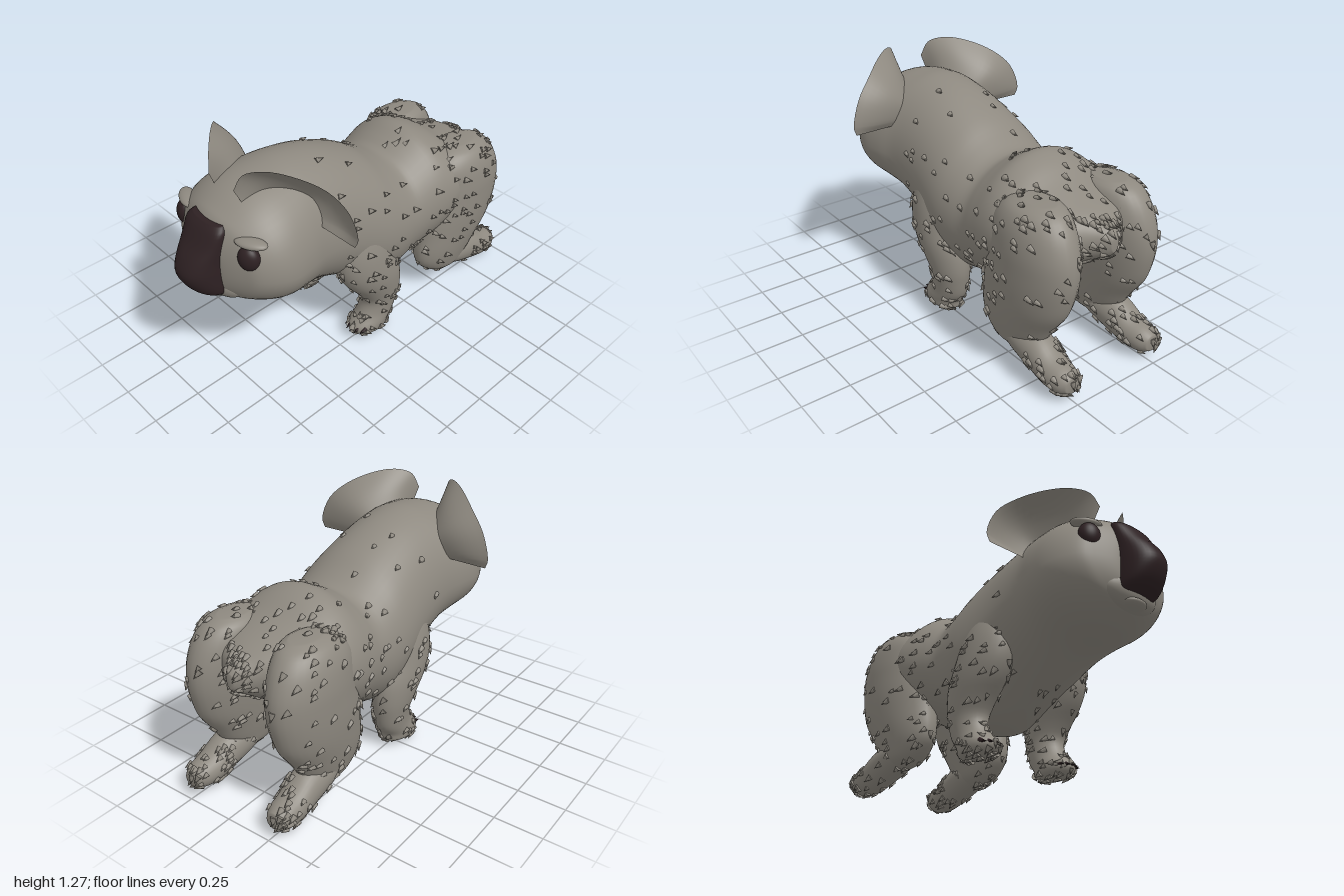
import * as THREE from 'three';
import { mergeGeometries } from 'three/addons/utils/BufferGeometryUtils.js';

const material = (name, color, side = THREE.FrontSide) => {
  const m = new THREE.MeshStandardMaterial({ color, side });
  m.name = name;
  return m;
};

let seed = 7;
const random = () => (seed = (seed * 16807) % 2147483647) / 2147483647;

// Smoothly subdivides a list of numeric rows
function subdivide(rows, steps) {
  const out = [];
  for (let i = 0; i < rows.length - 1; i++) {
    const [a, b, c, d] = [rows[Math.max(i - 1, 0)], rows[i], rows[i + 1], rows[Math.min(i + 2, rows.length - 1)]];
    for (let k = 0; k < steps; k++) {
      const t = k / steps;
      out.push(b.map((_, n) => 0.5 * (2 * b[n] + (c[n] - a[n]) * t
        + (2 * a[n] - 5 * b[n] + 4 * c[n] - d[n]) * t * t
        + (3 * b[n] - a[n] - 3 * c[n] + d[n]) * t * t * t)));
    }
  }
  out.push(rows[rows.length - 1]);
  return out;
}

// Skins rings [position, low, high, halfWidth, centreX, widestLevel].
// Along z: rings run front to back. Along y: rings run bottom to top.
function loft(rows, axis, { sides = 40, steps = 4, power = 1 } = {}) {
  const rings = subdivide(rows, steps);
  const cap = ([t, , , , cx, mid]) => [t, mid, mid, 0, cx, mid];
  rings.unshift(cap(rings[0]));
  rings.push(cap(rings[rings.length - 1]));
  const soft = (v) => Math.sign(v) * Math.abs(v) ** power;
  const pos = [], index = [];
  rings.forEach(([t, lo, hi, hw, cx, mid], i) => {
    for (let j = 0; j < sides; j++) {
      const angle = (j / sides) * Math.PI * 2;
      const s = soft(Math.sin(angle));
      const x = cx + hw * soft(Math.cos(angle));
      const u = mid + s * (s > 0 ? hi - mid : mid - lo);
      if (axis === 'z') pos.push(x, u, t); else pos.push(x, t, u);
      if (i < rings.length - 1) {
        const a = i * sides + j, b = i * sides + (j + 1) % sides;
        index.push(a, a + sides, b, b, a + sides, b + sides);
      }
    }
  });
  const g = new THREE.BufferGeometry();
  g.setAttribute('position', new THREE.Float32BufferAttribute(pos, 3));
  g.setIndex(index);
  g.computeVertexNormals();
  return g;
}

const limb = (rows, axis, s) => loft(rows.map(([t, lo, hi, hw, cx]) => [t, lo, hi, hw, cx * s, (lo + hi) / 2]), axis, { sides: 32 });

// Small fur spikes lying back along a surface
function tufts(geometry, count, accept = () => true) {
  const cones = [], P = geometry.attributes.position, N = geometry.attributes.normal;
  const p = new THREE.Vector3(), n = new THREE.Vector3(), up = new THREE.Vector3(0, 1, 0);
  for (let tries = 0; cones.length < count && tries < 5000; tries++) {
    const i = Math.floor(random() * P.count);
    p.fromBufferAttribute(P, i);
    n.fromBufferAttribute(N, i);
    if (!accept(p)) continue;
    const dir = new THREE.Vector3(0, -0.35, -1);
    dir.addScaledVector(n, -dir.dot(n)).normalize().addScaledVector(n, 0.4).normalize();
    const size = 0.8 + random() * 0.45;
    const cone = new THREE.ConeGeometry(0.015 * size, 0.042 * size, 7);
    cone.applyQuaternion(new THREE.Quaternion().setFromUnitVectors(up, dir));
    p.addScaledVector(n, 0.004);
    cone.translate(p.x, p.y, p.z);
    cones.push(cone);
  }
  return mergeGeometries(cones);
}

// Curved open ear sheet between its root inside the head and its outer rim
function earGeometry(s) {
  const curve = (pts) => new THREE.CatmullRomCurve3(pts.map(([x, y, z]) => new THREE.Vector3(x * s, y, z)));
  const root = curve([[0.1, 1.1, 0.7], [0.12, 1.11, 0.58], [0.16, 1.07, 0.48], [0.2, 1.02, 0.42], [0.24, 0.97, 0.41], [0.27, 0.93, 0.42]]);
  const rim = curve([[0.088, 1.17, 0.73], [0.12, 1.25, 0.7], [0.19, 1.277, 0.64], [0.287, 1.26, 0.56], [0.4, 1.2, 0.47],
    [0.49, 1.11, 0.425], [0.535, 0.98, 0.41], [0.52, 0.93, 0.415]]);
  const U = 28, V = 8, pos = [], index = [];
  for (let i = 0; i <= U; i++) {
    const a = root.getPoint(i / U), b = rim.getPoint(i / U);
    for (let j = 0; j <= V; j++) {
      const p = a.clone().lerp(b, j / V);
      const bowl = Math.sin((j / V) * Math.PI) * Math.sin((i / U) * Math.PI) * 0.035;
      pos.push(p.x + s * bowl * 0.3, p.y, p.z - bowl);
      if (i < U && j < V) {
        const q = i * (V + 1) + j, r = q + V + 1;
        if (s > 0) index.push(q, r, q + 1, q + 1, r, r + 1);
        else index.push(q, q + 1, r, q + 1, r + 1, r);
      }
    }
  }
  const g = new THREE.BufferGeometry();
  g.setAttribute('position', new THREE.Float32BufferAttribute(pos, 3));
  g.setIndex(index);
  g.computeVertexNormals();
  return g;
}

export function createModel() {
  const group = new THREE.Group();
  const fur = material('greyFur', 0x8e8980, THREE.DoubleSide);
  const dark = material('darkBrown', 0x2e2123);
  const add = (name, geometry, mat) => {
    const mesh = new THREE.Mesh(geometry, mat);
    mesh.name = name;
    group.add(mesh);
    return mesh;
  };
  const ellipsoid = (name, mat, [x, y, z], [rx, ry, rz], turn = 0) => {
    const mesh = add(name, new THREE.SphereGeometry(1, 32, 20), mat);
    mesh.position.set(x, y, z);
    mesh.scale.set(rx, ry, rz);
    mesh.rotation.y = turn;
  };

  // Head, torso and tail in one skin
  const body = loft([
    [0.865, 0.68, 0.95, 0.09, 0, 0.8], [0.855, 0.645, 0.985, 0.14, 0, 0.8],
    [0.82, 0.615, 1.04, 0.225, 0, 0.8], [0.78, 0.59, 1.07, 0.295, 0, 0.8],
    [0.7, 0.555, 1.115, 0.35, 0, 0.79], [0.61, 0.53, 1.145, 0.37, 0, 0.78],
    [0.5, 0.51, 1.16, 0.357, 0, 0.78], [0.38, 0.465, 1.166, 0.333, 0, 0.77],
    [0.2, 0.38, 1.13, 0.335, 0, 0.72], [0, 0.275, 1.045, 0.358, 0, 0.63],
    [-0.12, 0.245, 0.97, 0.355, 0, 0.6], [-0.22, 0.27, 0.925, 0.345, 0, 0.6],
    [-0.3, 0.3, 0.955, 0.355, 0, 0.62], [-0.4, 0.33, 1.0, 0.368, 0, 0.64],
    [-0.5, 0.38, 0.975, 0.37, 0, 0.67], [-0.6, 0.45, 0.915, 0.35, 0, 0.7],
    [-0.7, 0.52, 0.87, 0.3, 0, 0.72], [-0.79, 0.58, 0.835, 0.22, 0, 0.72],
    [-0.85, 0.62, 0.805, 0.11, 0, 0.72], [-0.9, 0.65, 0.78, 0.05, 0, 0.72],
    [-0.925, 0.68, 0.75, 0.02, 0, 0.72],
  ], 'z', { sides: 56 });
  add('body', body, fur);
  add('bodyTufts', tufts(body, 210, (p) => p.z < 0.25 && p.z > -0.92), fur);

  // Long nose plate and the muzzle under it
  add('nose', loft([
    [0.655, 0.78, 0.88, 0.095, 0, 0.83], [0.67, 0.76, 0.93, 0.115, 0, 0.84],
    [0.72, 0.76, 0.975, 0.12, 0, 0.85], [0.79, 0.76, 1.0, 0.12, 0, 0.85],
    [0.86, 0.76, 0.975, 0.12, 0, 0.85], [0.93, 0.76, 0.925, 0.124, 0, 0.845],
    [1.0, 0.76, 0.88, 0.124, 0, 0.83], [1.03, 0.76, 0.85, 0.1, 0, 0.81],
  ], 'y', { power: 0.88 }), dark);
  ellipsoid('muzzle', fur, [0, 0.685, 0.79], [0.18, 0.09, 0.085]);
  ellipsoid('lowerLip', fur, [0, 0.622, 0.81], [0.08, 0.025, 0.065]);

  for (const s of [1, -1]) {
    const side = s > 0 ? 'left' : 'right';
    add(side + 'Ear', earGeometry(s), fur);
    ellipsoid(side + 'Eye', dark, [0.238 * s, 0.912, 0.783], [0.054, 0.064, 0.042], 0.45 * s);
    ellipsoid(side + 'Brow', fur, [0.235 * s, 0.985, 0.765], [0.08, 0.022, 0.04], 0.45 * s);

    // Front leg with paw
    const frontLeg = limb([
      [0.02, -0.02, 0.12, 0.04, 0.255], [0.04, -0.07, 0.155, 0.078, 0.255], [0.08, -0.08, 0.165, 0.088, 0.255],
      [0.14, -0.12, 0.11, 0.084, 0.257], [0.22, -0.14, 0.085, 0.088, 0.26], [0.3, -0.15, 0.13, 0.1, 0.262],
      [0.4, -0.14, 0.21, 0.115, 0.26], [0.5, -0.1, 0.255, 0.122, 0.252], [0.62, -0.06, 0.26, 0.118, 0.24],
      [0.75, 0.0, 0.22, 0.09, 0.225], [0.85, 0.06, 0.16, 0.03, 0.215],
    ], 'y', s);
    add(side + 'FrontLeg', frontLeg, fur);
    add(side + 'FrontLegTufts', tufts(frontLeg, 120, (p) => p.y < 0.7), fur);
    for (let i = -2; i <= 2; i++) {
      const claw = add(side + 'Claw', new THREE.ConeGeometry(0.014, 0.05, 8), dark);
      claw.position.set((0.255 + i * 0.028) * s, 0.072, 0.168 - i * i * 0.006);
      claw.rotation.x = 1.9;
    }

    // Heavy thigh and the backward hind foot
    const thigh = limb([
      [0.11, -0.64, -0.5, 0.03, 0.25], [0.15, -0.7, -0.42, 0.08, 0.25], [0.22, -0.76, -0.355, 0.103, 0.25],
      [0.3, -0.81, -0.34, 0.12, 0.25], [0.4, -0.88, -0.35, 0.135, 0.25], [0.5, -0.915, -0.36, 0.146, 0.248],
      [0.6, -0.93, -0.38, 0.151, 0.245], [0.7, -0.92, -0.4, 0.152, 0.242], [0.8, -0.88, -0.42, 0.142, 0.235],
      [0.87, -0.82, -0.48, 0.113, 0.225], [0.9, -0.75, -0.56, 0.06, 0.215],
    ], 'y', s);
    add(side + 'Thigh', thigh, fur);
    add(side + 'ThighTufts', tufts(thigh, 130), fur);
    const foot = limb([
      [-0.45, 0.16, 0.27, 0.05, 0.25], [-0.6, 0.1, 0.28, 0.09, 0.252], [-0.75, 0.05, 0.25, 0.088, 0.257],
      [-0.85, 0.03, 0.19, 0.083, 0.26], [-0.93, 0.035, 0.165, 0.07, 0.262], [-0.975, 0.06, 0.14, 0.04, 0.262],
    ], 'z', s);
    add(side + 'HindFoot', foot, fur);
    add(side + 'HindFootTufts', tufts(foot, 60, (p) => p.z < -0.65), fur);
  }
  return group;
}
